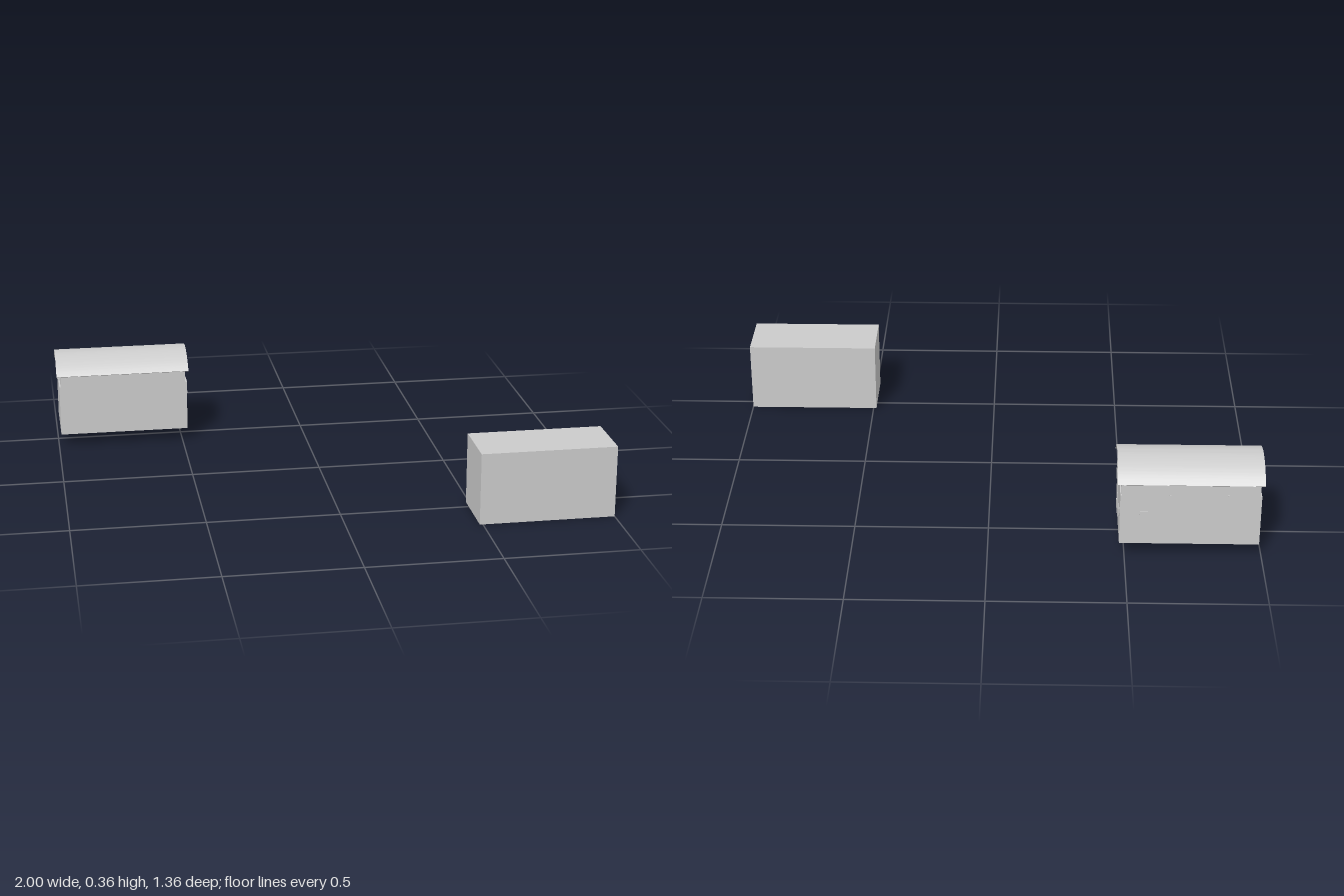
import * as THREE from 'three';
import { toCreasedNormals } from 'three/addons/utils/BufferGeometryUtils.js';

const ZC = -0.54;          // centre line of the hut
const ARC_Y = 0.177;       // centre height of the roof arc
const R = 0.183;           // outer roof radius
const HALF = 0.14;         // half width of the roof

const mat = new THREE.MeshStandardMaterial({ color: 0xcccccc });

function add(parent, name, geometry) {
  const mesh = new THREE.Mesh(geometry, mat);
  mesh.name = name;
  parent.add(mesh);
  return mesh;
}

// Box given by its limits on each axis
function box(parent, name, [x0, x1], [y0, y1], [z0, z1]) {
  const mesh = add(parent, name, new THREE.BoxGeometry(x1 - x0, y1 - y0, z1 - z0));
  mesh.position.set((x0 + x1) / 2, (y0 + y1) / 2, (z0 + z1) / 2);
  return mesh;
}

// Cross-section of the hut swept along x
function sweep(parent, name, shape, x0, x1) {
  const g = new THREE.ExtrudeGeometry(shape, { depth: x1 - x0, bevelEnabled: false, curveSegments: 32 });
  g.rotateY(Math.PI / 2);
  const mesh = add(parent, name, toCreasedNormals(g, 0.5));
  mesh.position.set(x0, 0, ZC);
  return mesh;
}

export function createModel() {
  const model = new THREE.Group();
  model.name = 'hutAndBlock';

  // Plain block
  box(model, 'block', [0.488, 1], [0, 0.275], [0.453, 0.68]);

  const hut = new THREE.Group();
  hut.name = 'hut';
  model.add(hut);

  // Walls with the arched gables on top
  const a = Math.acos(HALF / R);
  const wall = 0.137;
  const ri = R - 0.004;
  const aw = Math.acos(wall / ri);
  const section = new THREE.Shape();
  section.moveTo(-wall, 0.05);
  section.lineTo(wall, 0.05);
  section.absarc(0, ARC_Y, ri, aw, Math.PI - aw, false);
  section.closePath();
  sweep(hut, 'walls', section, -0.985, -0.485);

  // Thin arched roof overhanging both ends
  const shell = new THREE.Shape();
  shell.absarc(0, ARC_Y, R, a, Math.PI - a, false);
  shell.absarc(0, ARC_Y, R - 0.005, Math.PI - a, a, true);
  shell.closePath();
  sweep(hut, 'roof', shell, -1, -0.47);

  // End wall panels below the gables
  for (const [name, x] of [['doorEndWall', -0.485], ['plainEndWall', -0.99]]) {
    box(hut, name, [x, x + 0.005], [0.05, 0.25], [ZC - wall, ZC + wall]);
  }

  // Door with its upper panel, window and handle
  const face = -0.48;
  box(hut, 'door', [face, face + 0.002], [0.053, 0.19], [-0.468, -0.406]);
  box(hut, 'doorTopPanel', [face, face + 0.003], [0.19, 0.25], [-0.468, -0.404]);
  box(hut, 'doorWindow', [face, face + 0.005], [0.195, 0.222], [-0.461, -0.421]);
  box(hut, 'doorHandle', [face, face + 0.005], [0.106, 0.11], [-0.459, -0.455]);

  // Windows in the end and rear walls
  box(hut, 'endWindow', [face, face + 0.003], [0.142, 0.167], [-0.633, -0.592]);
  box(hut, 'rearWindow', [-0.582, -0.552], [0.145, 0.183], [-0.68, -0.677]);

  // Small studs along the top of the rear wall
  for (const x of [-0.66, -0.765, -0.87]) {
    box(hut, 'rearStud', [x - 0.003, x + 0.003], [0.248, 0.254], [-0.679, -0.677]);
  }
  return model;
}
